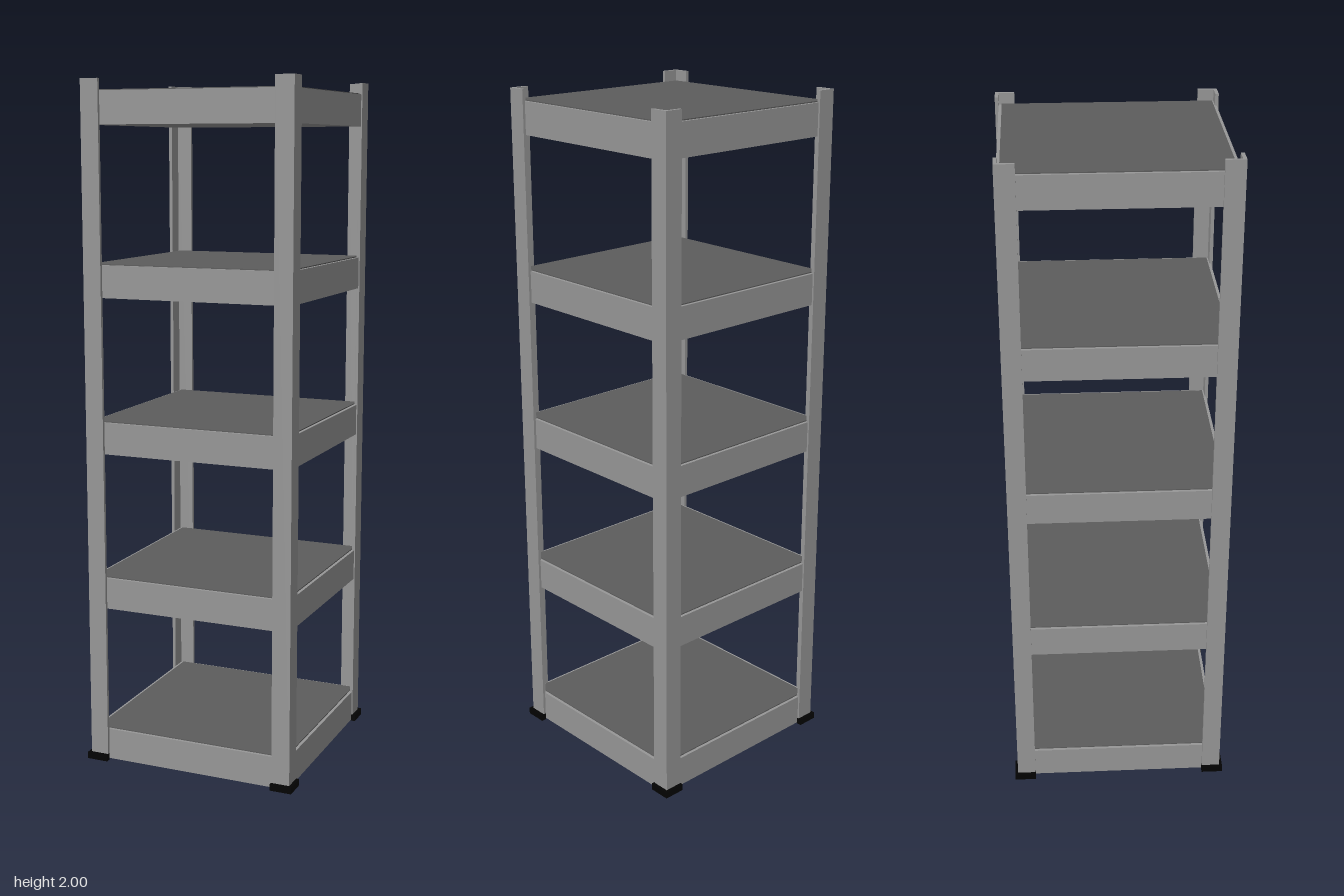
import * as THREE from 'three';

const frameMat = new THREE.MeshStandardMaterial({ color: 0x979797 });
frameMat.name = 'frame grey';
const panelMat = new THREE.MeshStandardMaterial({ color: 0x5d5d5d });
panelMat.name = 'panel dark grey';
const footMat = new THREE.MeshStandardMaterial({ color: 0x030303 });
footMat.name = 'foot black';

// Square slab whose underside is at y
function addSlab(parent, name, mat, width, height, y) {
  const mesh = new THREE.Mesh(new THREE.BoxGeometry(width, height, width), mat);
  mesh.name = name;
  mesh.position.y = y + height / 2;
  parent.add(mesh);
}

// Upright angle section: outer corner at (+outer, +outer), legs running back to -end
function angle(name, mat, outer, end, thick, y0, y1) {
  const i = outer - thick;
  const shape = new THREE.Shape([[-end, -outer], [outer, -outer], [outer, end], [i, end], [i, -i], [-end, -i]]
    .map(([x, y]) => new THREE.Vector2(x, y)));
  const geo = new THREE.ExtrudeGeometry(shape, { depth: y1 - y0, bevelEnabled: false });
  geo.rotateX(-Math.PI / 2).translate(0, y0, 0);
  const mesh = new THREE.Mesh(geo, mat);
  mesh.name = name;
  return mesh;
}

export function createModel() {
  const model = new THREE.Group();
  model.name = 'shelvingUnit';

  // Four corner posts with feet, each turned a quarter from the last
  for (let k = 0; k < 4; k++) {
    const corner = new THREE.Group();
    corner.name = 'corner' + (k + 1);
    const unit = new THREE.Group();
    unit.name = 'cornerUnit';
    unit.position.set(0.296, 0, 0.292);
    unit.add(angle('post', frameMat, 0.0235, 0.0315, 0.01, 0.004, 2));
    unit.add(angle('foot', footMat, 0.0325, 0.0325, 0.016, 0, 0.02));
    corner.add(unit);
    corner.rotation.y = k * Math.PI / 2;
    model.add(corner);
  }

  // Five shelves: a frame-coloured tray with a dark panel set on top
  const height = 0.093;
  [0.004, 0.473, 0.938, 1.391, 1.874].forEach((y, n) => {
    const shelf = new THREE.Group();
    shelf.name = 'shelf' + (n + 1);
    shelf.position.set(0.002, y, 0);
    addSlab(shelf, 'tray', frameMat, 0.62, height, 0);
    addSlab(shelf, 'panel', panelMat, 0.602, 0.003, height);
    model.add(shelf);
  });
  return model;
}
